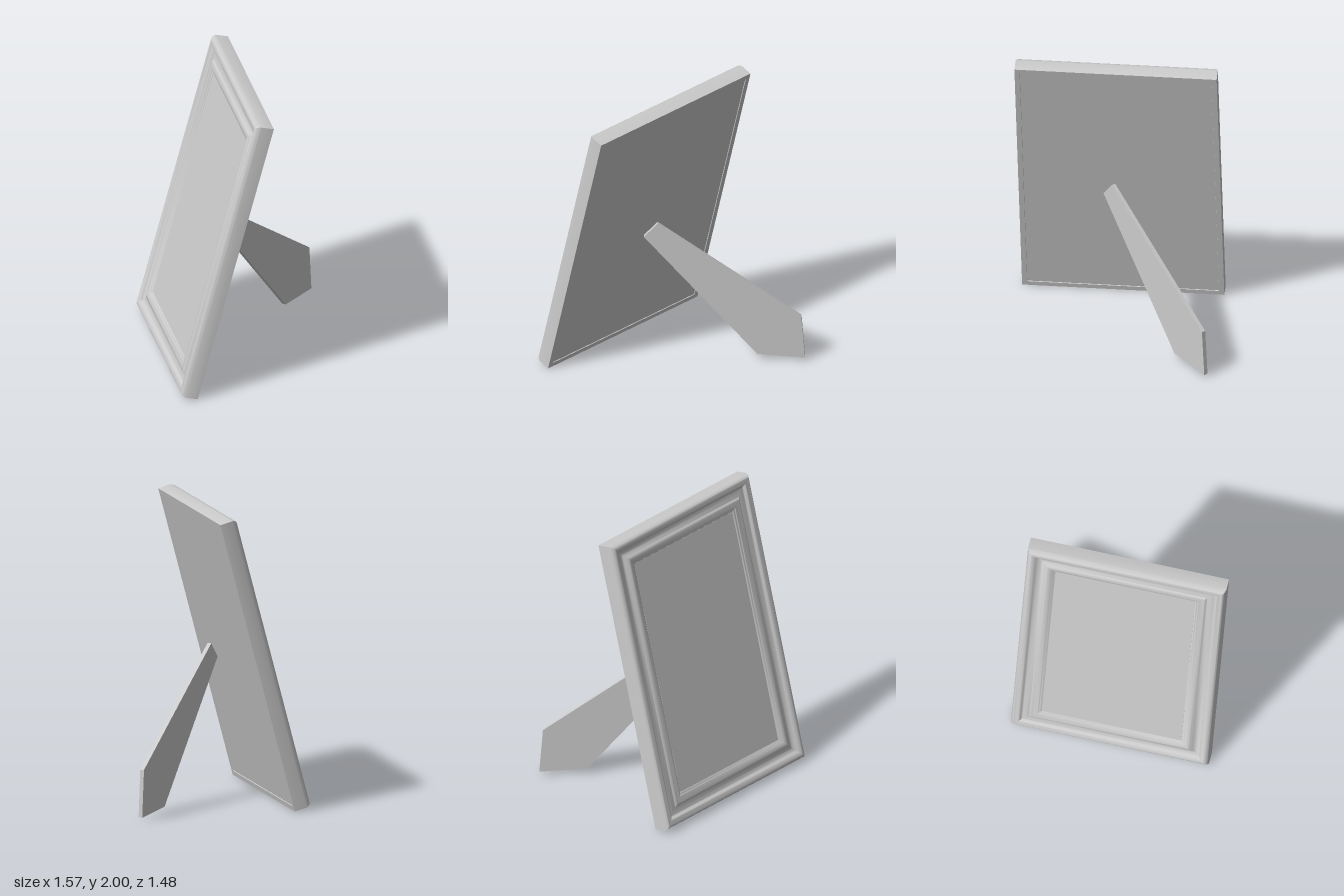
import * as THREE from 'three';
import { toCreasedNormals } from 'three/addons/utils/BufferGeometryUtils.js';

const W = 1.354, H = 2.042;      // outer size of the frame
const TILT = 0.258, TURN = -1.925; // lean backwards and heading

const material = () => new THREE.MeshStandardMaterial({ color: 0xcccccc });

function add(parent, geometry, name) {
  const mesh = new THREE.Mesh(geometry, material());
  mesh.name = name;
  parent.add(mesh);
  return mesh;
}

// Moulding cross-section: x = distance in from the outer edge, y = height above the back
function mouldingProfile() {
  const back = [[0.036, 0.008], [0.034, 0], [0, 0]].map(p => new THREE.Vector2(...p));
  const face = new THREE.SplineCurve([
    [0, 0.088], [0.012, 0.112], [0.032, 0.121], [0.055, 0.114], [0.075, 0.098],
    [0.1, 0.092], [0.12, 0.1], [0.142, 0.112], [0.165, 0.11], [0.185, 0.1], [0.203, 0.09],
  ].map(p => new THREE.Vector2(...p)));
  return [...back, ...face.getPoints(40)];
}

// Sweep the cross-section around the rectangle with mitred corners
function mouldingGeometry() {
  const profile = mouldingProfile();
  const corners = [[-1, -1], [1, -1], [1, 1], [-1, 1]];
  const positions = [], index = [];
  for (const [sx, sy] of corners) {
    for (const p of profile) {
      positions.push(sx * (W / 2 - p.x), H / 2 + sy * (H / 2 - p.x), p.y);
    }
  }
  const n = profile.length;
  for (let k = 0; k < 4; k++) {
    for (let i = 0; i < n - 1; i++) {
      const a = k * n + i, b = ((k + 1) % 4) * n + i;
      index.push(a, b, b + 1, a, b + 1, a + 1);
    }
  }
  const geometry = new THREE.BufferGeometry();
  geometry.setAttribute('position', new THREE.Float32BufferAttribute(positions, 3));
  geometry.setIndex(index);
  return toCreasedNormals(geometry, 0.7);
}

// Flat slab centred in the frame between two depths
function slab(inset, z0, z1) {
  return new THREE.BoxGeometry(W - 2 * inset, H - 2 * inset, z1 - z0)
    .translate(0, H / 2, (z0 + z1) / 2);
}

export function createModel() {
  const model = new THREE.Group();
  model.name = 'pictureFrame';

  // Leaning frame with its picture and backing board
  const frame = new THREE.Group();
  frame.name = 'frame';
  frame.rotation.order = 'YXZ';
  frame.rotation.set(-TILT, TURN, 0);
  frame.position.set(-0.457, 0, -0.082);
  add(frame, mouldingGeometry(), 'moulding');
  add(frame, slab(0.2, 0.05, 0.093), 'picture');
  add(frame, slab(0.035, 0.005, 0.05), 'backingBoard');
  model.add(frame);

  // Upright plate that props the frame from behind
  const outline = [[-0.13, 1.035], [-0.22, 0.93], [0.537, 0.04], [0.855, 0.02], [0.83, 0.34]];
  const shape = new THREE.Shape(outline.map(p => new THREE.Vector2(...p)));
  const thickness = 0.028;
  const leg = add(model, new THREE.ExtrudeGeometry(shape, { depth: thickness, bevelEnabled: false })
    .translate(0, 0, -thickness / 2), 'supportLeg');
  leg.rotation.y = 0.42;
  leg.position.z = 0.02;

  return model;
}
